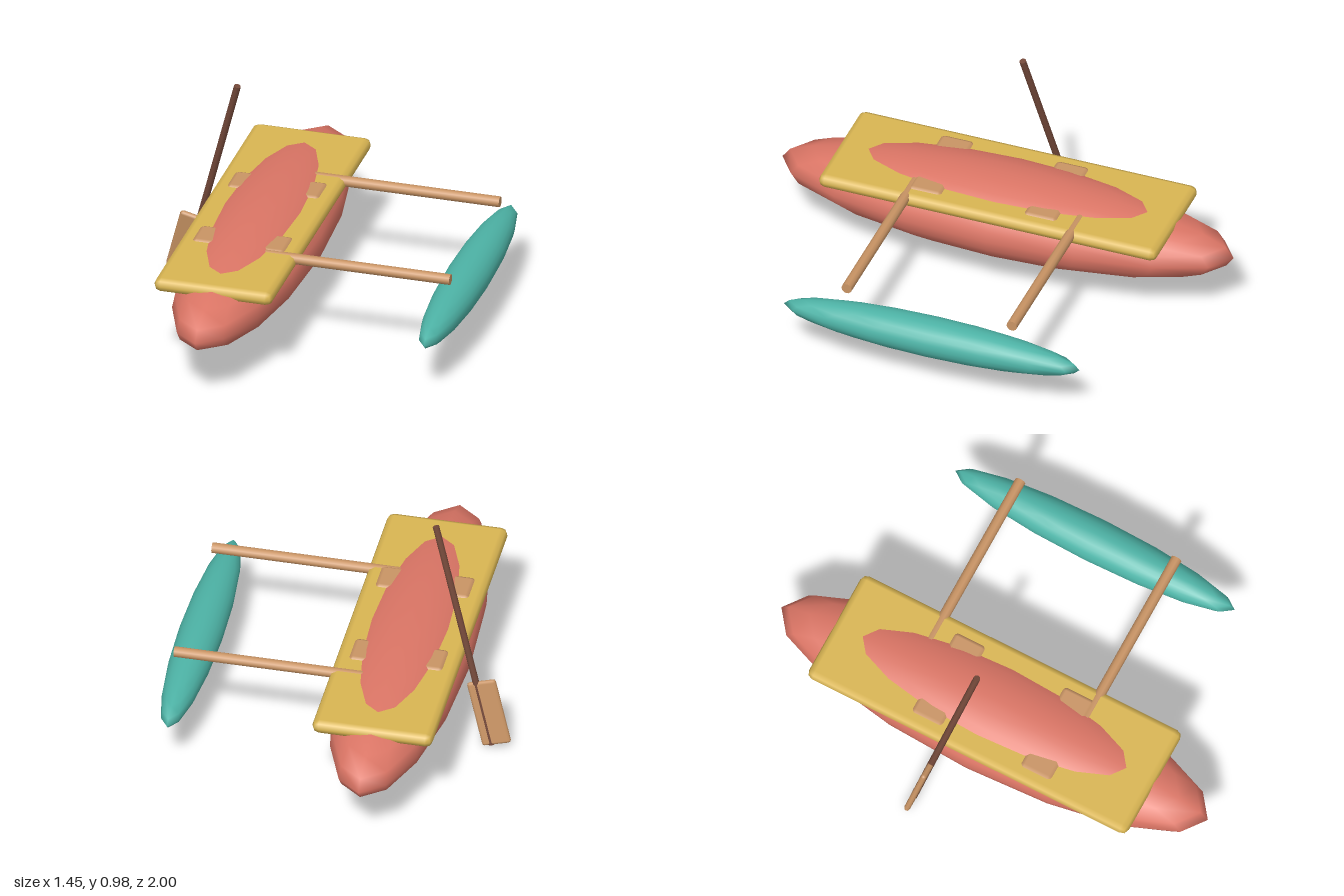
import * as THREE from 'three';
import { RoundedBoxGeometry } from 'three/addons/geometries/RoundedBoxGeometry.js';

function paint(name, color) {
  const m = new THREE.MeshStandardMaterial({ color });
  m.name = name;
  return m;
}

export function createModel() {
  const coral = paint('coral', 0xdb7565);
  const yellow = paint('yellow', 0xd9b552);
  const tan = paint('tan wood', 0xc99464);
  const brown = paint('dark wood', 0x74493a);
  const teal = paint('teal', 0x4db3a6);

  const model = new THREE.Group();
  model.name = 'outriggerCanoe';

  function add(name, geometry, material, x, y, z, parent = model) {
    const mesh = new THREE.Mesh(geometry, material);
    mesh.name = name;
    mesh.position.set(x, y, z);
    parent.add(mesh);
    return mesh;
  }
  const ellipsoid = (rx, ry, rz) => new THREE.SphereGeometry(1, 16, 12).scale(rx, ry, rz);
  // one bevel step gives the soft chamfered edge used on all boards
  const board = (w, h, d) => new RoundedBoxGeometry(w, h, d, 1, Math.min(w, h, d) / 2);

  // hull, with its crown rising through the deck
  const hullX = -0.256;
  add('hull', ellipsoid(0.261, 0.178, 1), coral, hullX, 0.311, 0);
  add('deck', board(0.512, 0.06, 1.5), yellow, hullX, 0.419, 0);

  // cross seats
  for (const z of [-0.215, 0.295]) {
    add('seat', board(0.405, 0.04, 0.152), tan, hullX, 0.436, z);
  }

  // outrigger beams and float on the left side
  const beam = new THREE.CylinderGeometry(0.023, 0.023, 0.82, 10).rotateZ(Math.PI / 2);
  for (const z of [-0.366, 0.366]) {
    add('outriggerBeam', beam, tan, 0.252, 0.43, z);
  }
  add('outriggerFloat', ellipsoid(0.093, 0.083, 0.655), teal, 0.631, 0.258, 0);

  // leaning paddle
  const paddle = new THREE.Group();
  paddle.name = 'paddle';
  paddle.position.set(-0.506, 0.505, -0.098);
  paddle.rotation.set(0.157, 0, -0.268);
  model.add(paddle);
  add('paddleShaft', new THREE.CylinderGeometry(0.0145, 0.0145, 1.02, 8), brown, 0, 0, 0, paddle);
  add('paddleBlade', board(0.126, 0.295, 0.025), tan, -0.023, -0.364, 0, paddle);

  return model;
}
